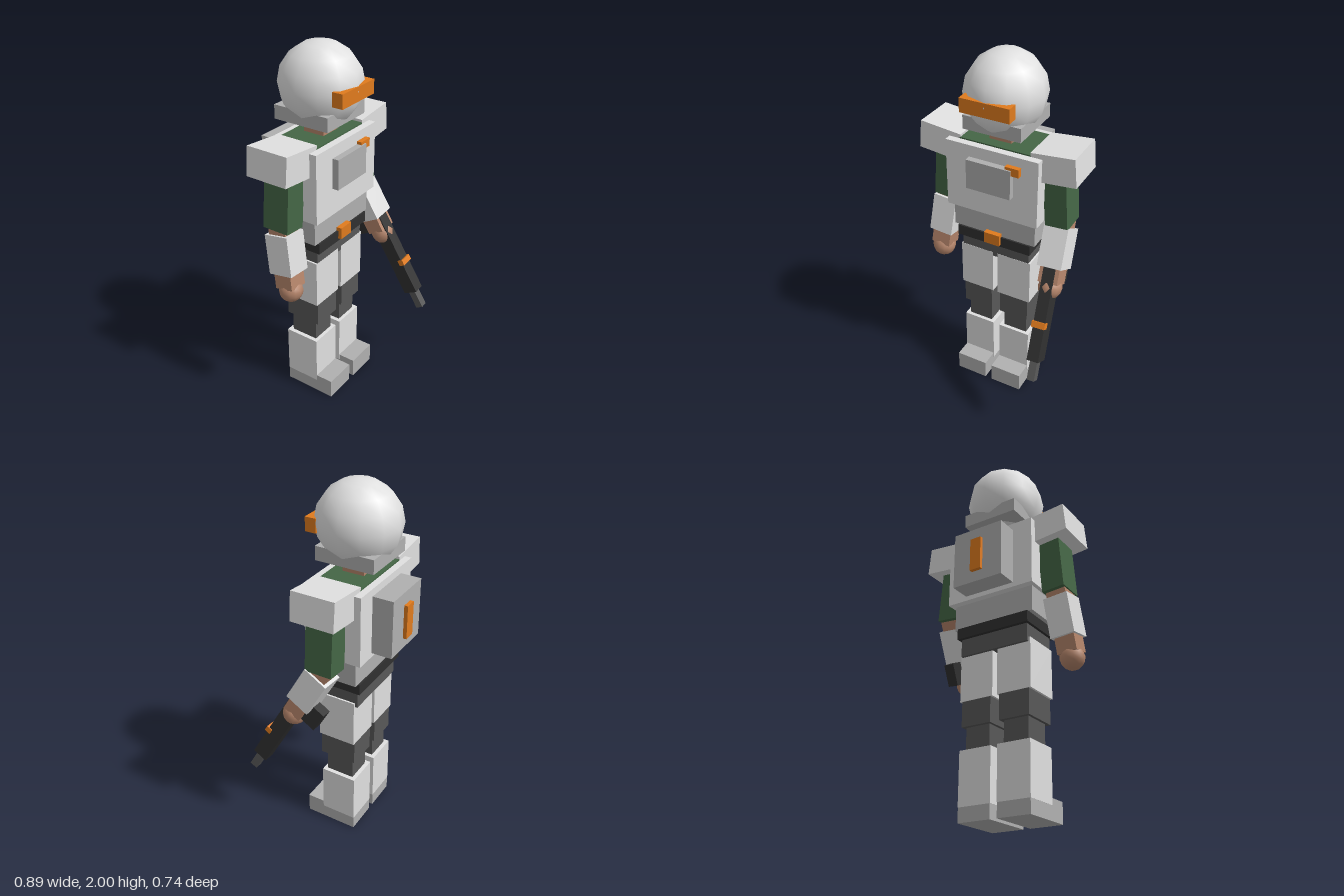
import * as THREE from 'three';

const paint = (name, color) => {
  const m = new THREE.MeshStandardMaterial({ color });
  m.name = name;
  return m;
};

export function createModel() {
  const white = paint('armour white', 0xe0e0e0);
  const grey = paint('mid grey', 0xb0b0b0);
  const dark = paint('dark grey', 0x585858);
  const black = paint('black', 0x303030);
  const green = paint('green cloth', 0x446645);
  const skin = paint('skin', 0xb5856b);
  const orange = paint('orange', 0xe07b1e);

  const root = new THREE.Group();
  root.name = 'armouredTrooper';

  const add = (parent, name, geo, mat, x, y, z) => {
    const mesh = new THREE.Mesh(geo, mat);
    mesh.name = name;
    mesh.position.set(x, y, z);
    parent.add(mesh);
    return mesh;
  };
  // box given by its limits on each axis
  const span = (parent, name, mat, [x0, x1], [y0, y1], [z0, z1]) =>
    add(parent, name, new THREE.BoxGeometry(x1 - x0, y1 - y0, z1 - z0), mat,
      (x0 + x1) / 2, (y0 + y1) / 2, (z0 + z1) / 2);
  const wide = (w) => [-w, w];

  // head
  const helmet = add(root, 'helmet', new THREE.SphereGeometry(1, 12, 8), white, 0, 1.785, -0.077);
  helmet.scale.set(0.21, 0.215, 0.223);
  span(root, 'chinGuard', grey, wide(0.16), [1.61, 1.685], [-0.247, 0.075]);
  span(root, 'visor', orange, wide(0.135), [1.735, 1.81], [0.085, 0.145]);
  span(root, 'neck', skin, wide(0.062), [1.5, 1.64], [-0.14, -0.02]);

  // torso
  span(root, 'chestArmour', white, wide(0.26), [1.15, 1.53], [-0.237, 0.08]);
  span(root, 'collar', green, wide(0.2), [1.45, 1.537], [-0.2, 0.04]);
  span(root, 'chestPanel', grey, wide(0.125), [1.3, 1.465], [0.07, 0.115]);
  span(root, 'chestBadge', orange, [0.09, 0.168], [1.435, 1.48], [0.07, 0.107]);
  span(root, 'backpack', grey, wide(0.147), [1.175, 1.49], [-0.35, -0.23]);
  span(root, 'backpackLight', orange, wide(0.032), [1.235, 1.42], [-0.37, -0.34]);
  span(root, 'abdomen', grey, wide(0.238), [1.01, 1.15], [-0.2, 0.05]);
  span(root, 'belt', black, wide(0.215), [0.95, 1.01], [-0.21, 0.06]);
  span(root, 'buckle', orange, wide(0.045), [0.965, 1.03], [0.05, 0.08]);
  span(root, 'hips', dark, wide(0.2), [0.855, 0.952], [-0.19, 0.036]);

  for (const s of [-1, 1]) {
    // leg
    const leg = new THREE.Group();
    leg.name = s > 0 ? 'leftLeg' : 'rightLeg';
    leg.position.set(s * 0.112, 0, -0.075);
    root.add(leg);
    span(leg, 'thigh', white, wide(0.098), [0.61, 0.878], [-0.1, 0.112]);
    span(leg, 'knee', dark, wide(0.086), [0.475, 0.612], [-0.098, 0.108]);
    span(leg, 'shin', dark, wide(0.07), [0.35, 0.477], [-0.078, 0.08]);
    span(leg, 'boot', white, wide(0.093), [0.075, 0.355], [-0.101, 0.1]);
    span(leg, 'foot', grey, wide(0.092), [0, 0.11], [-0.1, 0.2]);

    // shoulder and upper arm
    const side = s > 0 ? 'left' : 'right';
    const pad = add(root, side + 'ShoulderPad', new THREE.BoxGeometry(0.235, 0.155, 0.24), white,
      s * 0.32, 1.486, -0.08);
    pad.rotation.z = s * 0.1;
    const upper = add(root, side + 'UpperArm', new THREE.BoxGeometry(0.125, 0.31, 0.15), green,
      s * 0.32, 1.28, -0.077);
    upper.rotation.z = s * 0.08;

    // forearm, hanging from the elbow
    const forearm = new THREE.Group();
    forearm.name = side + 'Forearm';
    forearm.position.set(s * 0.333, 1.12, -0.075);
    forearm.rotation.set(s > 0 ? -0.51 : -0.17, 0, s * 0.08, 'ZXY');
    root.add(forearm);
    span(forearm, 'wrist', skin, wide(0.055), [-0.32, 0.03], wide(0.052));
    span(forearm, 'cuff', white, wide(0.068), [-0.235, -0.02], wide(0.07));
    add(forearm, 'hand', new THREE.SphereGeometry(0.065, 12, 8), skin, 0, -0.342, 0);

    // blaster held in line with the left forearm
    if (s > 0) {
      const gun = new THREE.Group();
      gun.name = 'blaster';
      gun.position.z = 0.016;
      forearm.add(gun);
      span(gun, 'gunBody', black, wide(0.033), [-0.74, -0.2], wide(0.043));
      span(gun, 'gunMuzzle', dark, wide(0.021), [-0.85, -0.73], wide(0.022));
      span(gun, 'gunBand', orange, wide(0.038), [-0.558, -0.525], [0.022, 0.056]);
      span(gun, 'gunGrip', black, wide(0.03), [-0.32, -0.2], [-0.155, -0.03]);
    }
  }
  return root;
}
